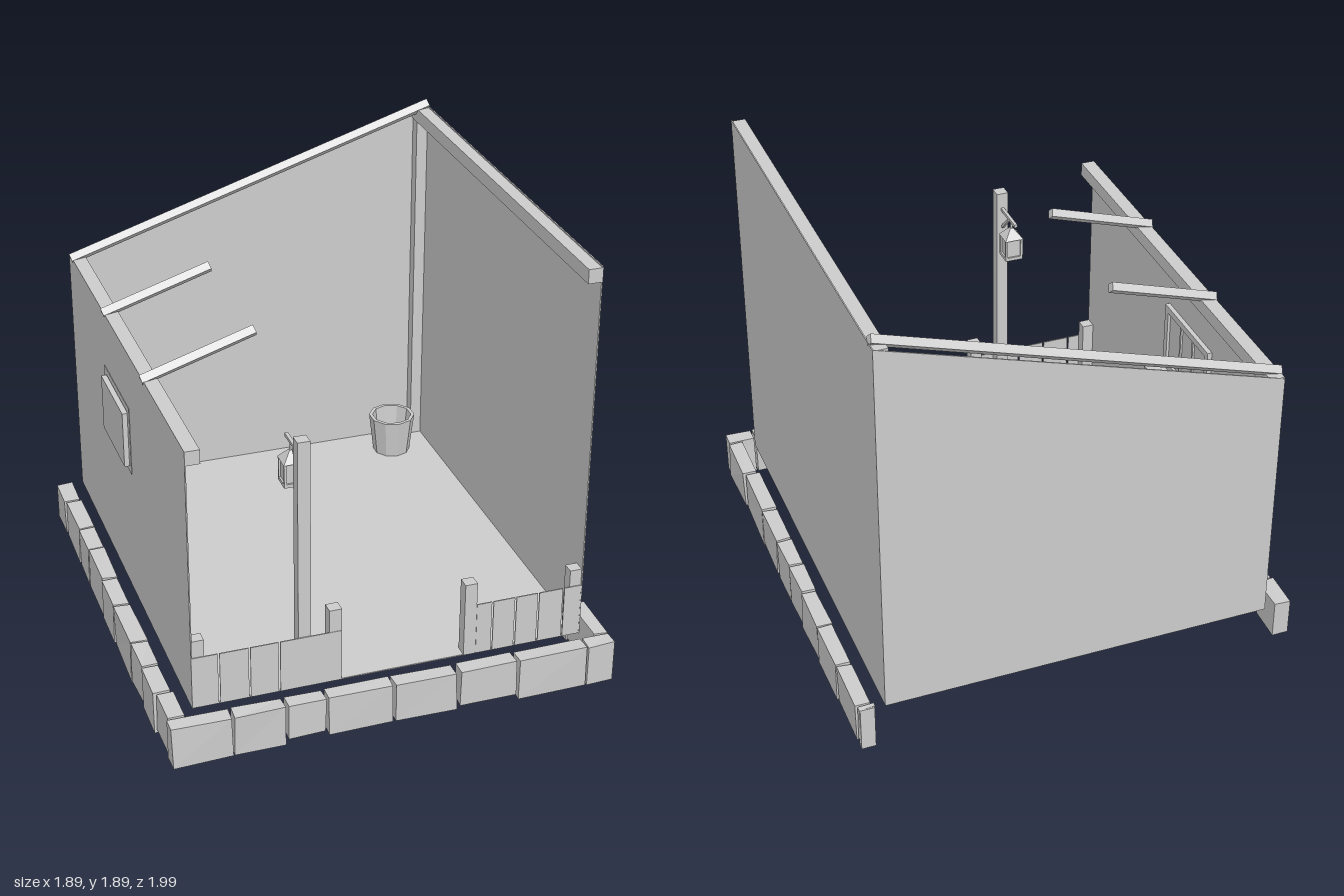
import * as THREE from 'three';

const stoneGrey = new THREE.MeshStandardMaterial({ color: 0xcccccc, side: THREE.DoubleSide });
stoneGrey.name = 'plain grey';
stoneGrey.flatShading = true;

// Box given by its lower and upper limits on each axis
function box(parent, name, x0, x1, y0, y1, z0, z1) {
  const mesh = new THREE.Mesh(new THREE.BoxGeometry(x1 - x0, y1 - y0, z1 - z0), stoneGrey);
  mesh.position.set((x0 + x1) / 2, (y0 + y1) / 2, (z0 + z1) / 2);
  mesh.name = name;
  parent.add(mesh);
  return mesh;
}

function group(parent, name) {
  const g = new THREE.Group();
  g.name = name;
  parent.add(g);
  return g;
}

// Seeded random in -1..1
let seed = 17;
function rand() {
  seed = (seed * 16807) % 2147483647;
  return (seed / 2147483647) * 2 - 1;
}

// Rough kerb stone: a box whose corners are nudged, more so at the bottom
function stone(parent, x0, x1, y0, z0, z1) {
  const mesh = box(parent, 'kerbStone', x0, x1, y0, 0.2, z0, z1);
  const p = mesh.geometry.attributes.position;
  const nudges = {};
  for (let i = 0; i < p.count; i++) {
    const key = [p.getX(i) > 0, p.getY(i) > 0, p.getZ(i) > 0].join();
    nudges[key] ??= [rand() * 0.005, rand() * 0.005, rand() * 0.005];
    const n = nudges[key];
    const k = p.getY(i) > 0 ? 0.6 : 1;
    p.setXYZ(i, p.getX(i) + n[0] * k, p.getY(i) + n[1] * k, p.getZ(i) + n[2] * k);
  }
  mesh.geometry.computeVertexNormals();
}

// Roof pole turned on its edge and following the roof slope
function rafter(parent, x0, x1, z) {
  const slope = 0.52 / 1.65;
  const yAt = (x) => 1.342 + (x + 0.83) * slope;
  const length = Math.hypot(x1 - x0, yAt(x1) - yAt(x0));
  const geo = new THREE.BoxGeometry(length, 0.035, 0.035);
  geo.rotateX(Math.PI / 4);
  geo.rotateZ(Math.atan(slope));
  const mesh = new THREE.Mesh(geo, stoneGrey);
  mesh.position.set((x0 + x1) / 2, yAt((x0 + x1) / 2), z);
  mesh.name = 'rafter';
  parent.add(mesh);
}

export function createModel() {
  const model = new THREE.Group();
  model.name = 'openShed';

  // Floor and side walls
  box(model, 'floor', -0.82, 0.82, 0.195, 0.2, -0.995, 0.87);
  box(model, 'rightWall', -0.825, -0.82, 0.195, 1.34, -1, 0.875);
  box(model, 'leftWall', 0.82, 0.825, 0.195, 1.85, -1, 0.875);

  // Back wall with a sloping top
  const outline = new THREE.Shape();
  outline.moveTo(-0.82, 0.195);
  outline.lineTo(0.82, 0.195);
  outline.lineTo(0.82, 1.85);
  outline.lineTo(-0.82, 1.34);
  const backWall = new THREE.Mesh(
    new THREE.ExtrudeGeometry(outline, { depth: 0.005, bevelEnabled: false }), stoneGrey);
  backWall.position.z = -1;
  backWall.name = 'backWall';
  model.add(backWall);

  // Frame: corner posts, wall beams and rafters
  const frame = group(model, 'frame');
  for (const [x, top] of [[-0.82, 1.285], [0.77, 1.785]]) {
    box(frame, 'backPost', x, x + 0.05, 0.2, top, -0.995, -0.945);
    box(frame, 'wallBeam', x - 0.005, x + 0.055, top, top + 0.06, -0.997, 0.877);
    box(frame, 'cornerPost', x, x + 0.05, 0.2, 0.505, 0.82, 0.87);
  }
  rafter(frame, -0.83, 0.82, -0.945);
  rafter(frame, -0.83, -0.365, -0.367);
  rafter(frame, -0.83, -0.365, 0.267);

  // Front fence: posts and thin boards
  const fence = group(model, 'fence');
  box(fence, 'tallPost', -0.387, -0.335, 0.2, 1.3, 0.815, 0.868);
  box(fence, 'gatePost', -0.26, -0.208, 0.2, 0.53, 0.82, 0.872);
  box(fence, 'gatePost', 0.313, 0.365, 0.2, 0.53, 0.82, 0.872);
  const boards = [
    [-0.82, -0.717], [-0.71, -0.592], [-0.585, -0.47], [-0.463, -0.21],
    [0.365, 0.43], [0.437, 0.53], [0.537, 0.63], [0.637, 0.74], [0.747, 0.82],
  ];
  for (const [x0, x1] of boards) box(fence, 'fenceBoard', x0, x1, 0.2, 0.43, 0.869, 0.874);

  // Window in the lower side wall
  const win = group(model, 'window');
  box(win, 'windowPane', -0.848, -0.812, 0.81, 1.055, -0.37, -0.01);
  box(win, 'windowSill', -0.82, -0.72, 0.768, 0.785, -0.41, 0.035);
  for (const z of [-0.395, -0.01]) box(win, 'windowJamb', -0.827, -0.8, 0.785, 1.09, z, z + 0.03);
  for (const y of [0.785, 1.06]) box(win, 'windowRail', -0.827, -0.8, y, y + 0.03, -0.365, -0.01);
  for (const z of [-0.25, -0.135]) box(win, 'windowBar', -0.815, -0.804, 0.815, 1.06, z, z + 0.012);

  // Lantern hanging from a braced arm on the tall post
  const lantern = group(model, 'lantern');
  const lx = -0.361;
  const lz = 0.707;
  box(lantern, 'lanternArm', lx - 0.007, lx + 0.007, 1.215, 1.229, 0.65, 0.815);
  const brace = box(lantern, 'armBrace', lx - 0.006, lx + 0.006, 1.165, 1.177, 0.725, 0.825);
  brace.rotation.x = Math.PI / 4;
  box(lantern, 'lanternHook', lx - 0.004, lx + 0.004, 1.18, 1.215, lz - 0.004, lz + 0.004);
  box(lantern, 'lanternBase', lx - 0.04, lx + 0.04, 1.04, 1.055, lz - 0.04, lz + 0.04);
  box(lantern, 'lanternGlass', lx - 0.032, lx + 0.032, 1.055, 1.14, lz - 0.032, lz + 0.032);
  for (const sx of [-1, 1]) for (const sz of [-1, 1]) {
    const x = lx + sx * 0.035, z = lz + sz * 0.035;
    box(lantern, 'lanternCorner', x - 0.005, x + 0.005, 1.055, 1.14, z - 0.005, z + 0.005);
  }
  const capGeo = new THREE.CylinderGeometry(0.01, 0.0594, 0.045, 4);
  capGeo.rotateY(Math.PI / 4);
  const cap = new THREE.Mesh(capGeo, stoneGrey);
  cap.position.set(lx, 1.1625, lz);
  cap.name = 'lanternCap';
  lantern.add(cap);

  // Open tub in the back corner
  const tubProfile = [[0, 0], [0.085, 0], [0.106, 0.18], [0.09, 0.18], [0.072, 0.02], [0, 0.02]];
  const tub = new THREE.Mesh(
    new THREE.LatheGeometry(tubProfile.map(([x, y]) => new THREE.Vector2(x, y)), 10), stoneGrey);
  tub.position.set(0.632, 0.201, -0.835);
  tub.name = 'tub';
  model.add(tub);

  // Kerb of rough stones along the front and both sides
  const kerb = group(model, 'kerb');
  const front = [
    [-0.94, -0.697, 0.02], [-0.685, -0.478, 0.015], [-0.465, -0.31, 0.045], [-0.3, -0.033, 0.03],
    [-0.018, 0.24, 0.03], [0.26, 0.5, 0.04], [0.515, 0.808, 0.015], [0.815, 0.935, 0.02],
  ];
  for (const [x0, x1, y] of front) stone(kerb, x0, x1, y, 0.918, 0.988);
  const leftEdges = [-0.998, -0.97, -0.715, -0.462, -0.225, -0.037, 0.145, 0.375, 0.665, 0.918];
  const rightEdges = [-0.998, -0.83, -0.58, -0.398, -0.14, 0.072, 0.365, 0.545, 0.738, 0.918];
  for (let i = 0; i < 9; i++) {
    const shift = rand() * 0.006;
    const y = 0.022 + rand() * 0.015;
    stone(kerb, 0.87 + shift, 0.933 + shift, y, leftEdges[i] + 0.004, leftEdges[i + 1] - 0.006);
    stone(kerb, -0.943 + shift, -0.873 + shift, y, rightEdges[i] + 0.004, rightEdges[i + 1] - 0.006);
  }
  // Narrow end stone reaching the ground
  box(kerb, 'endStone', 0.868, 0.928, 0, 0.2, -1, -0.974);
  return model;
}
